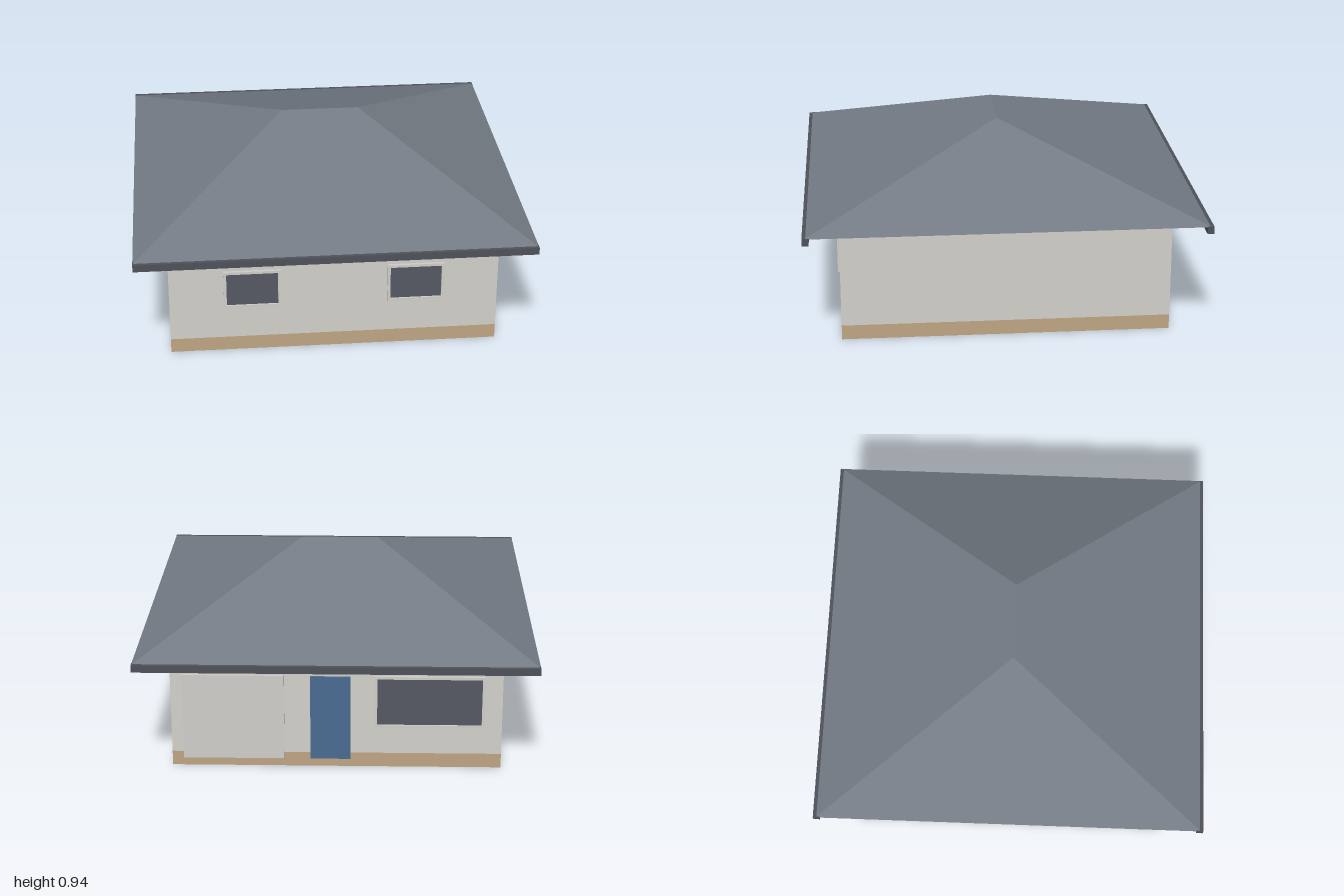
import * as THREE from 'three';

const mat = (name, color) => {
  const m = new THREE.MeshStandardMaterial({ color });
  m.name = name;
  return m;
};

export function createModel() {
  const house = new THREE.Group();
  house.name = 'house';

  const wall = mat('wall render', 0xd3d1ca);
  const plinth = mat('tan plinth', 0xbfa684);
  const slate = mat('slate roof', 0x747b85);
  const gutter = mat('dark gutter', 0x4f525a);
  const glass = mat('dark glass', 0x565963);
  const trim = mat('pale trim', 0xd0cfca);
  const blue = mat('blue door', 0x4a6c92);

  // Box given by its limits along each axis
  const box = (name, m, [x0, x1], [y0, y1], [z0, z1], parent = house) => {
    const mesh = new THREE.Mesh(new THREE.BoxGeometry(x1 - x0, y1 - y0, z1 - z0), m);
    mesh.position.set((x0 + x1) / 2, (y0 + y1) / 2, (z0 + z1) / 2);
    mesh.name = name;
    parent.add(mesh);
    return mesh;
  };

  // Body
  const W = 0.825;
  box('plinth', plinth, [-W, W], [0, 0.075], [-W, W]);
  box('walls', wall, [-W, W], [0.075, 0.61], [-W, W]);

  // Hipped roof: four slopes and a flat soffit
  const ex = 0.99, ez = 0.988, eave = 0.61, top = 0.94, ridge = 0.2;
  const fl = [-ex, eave, ez], fr = [ex, eave, ez];
  const br = [ex, eave, -ez], bl = [-ex, eave, -ez];
  const r0 = [-ridge, top, 0], r1 = [ridge, top, 0];
  const faces = [
    fl, fr, r1, fl, r1, r0, // front
    br, bl, r0, br, r0, r1, // back
    fr, br, r1, // +x hip
    bl, fl, r0, // -x hip
    fl, bl, br, fl, br, fr, // soffit
  ];
  const roofGeo = new THREE.BufferGeometry();
  roofGeo.setAttribute('position', new THREE.Float32BufferAttribute(faces.flat(), 3));
  roofGeo.computeVertexNormals();
  const roof = new THREE.Mesh(roofGeo, slate);
  roof.name = 'roof';
  house.add(roof);

  // Gutters along the front and back eaves
  box('frontGutter', gutter, [-ex, ex], [0.575, 0.612], [0.967, 1]);
  box('backGutter', gutter, [-ex, ex], [0.575, 0.612], [-1, -0.967]);

  // Framed window, built facing +z and turned for the back wall
  const addWindow = (name, cx, cy, w, h, side) => {
    const g = new THREE.Group();
    g.name = name;
    const b = 0.014, x = w / 2, y = h / 2;
    const rect = (C, a, c) => new C([[-a, -c], [a, -c], [a, c], [-a, c]].map(p => new THREE.Vector2(...p)));
    const shape = rect(THREE.Shape, x, y);
    shape.holes.push(rect(THREE.Path, x - b, y - b));
    const frame = new THREE.Mesh(
      new THREE.ExtrudeGeometry(shape, { depth: 0.014, bevelEnabled: false }), trim);
    frame.name = 'windowFrame';
    g.add(frame);
    box('windowPane', glass, [b - x, x - b], [b - y, y - b], [0, 0.006], g);
    g.position.set(cx, cy, side * W);
    if (side < 0) g.rotation.y = Math.PI;
    house.add(g);
  };
  for (const s of [-1, 1]) addWindow('frontWindow', s * 0.41, 0.353, 0.285, 0.205, 1);
  addWindow('backWindow', -0.463, 0.357, 0.548, 0.275, -1);

  // Garage door and entrance door on the back wall
  box('garageDoor', trim, [0.26, 0.767], [0.045, 0.495], [-0.837, -W]);
  box('entranceDoor', blue, [-0.07, 0.13], [0.045, 0.49], [-0.837, -W]);

  return house;
}
